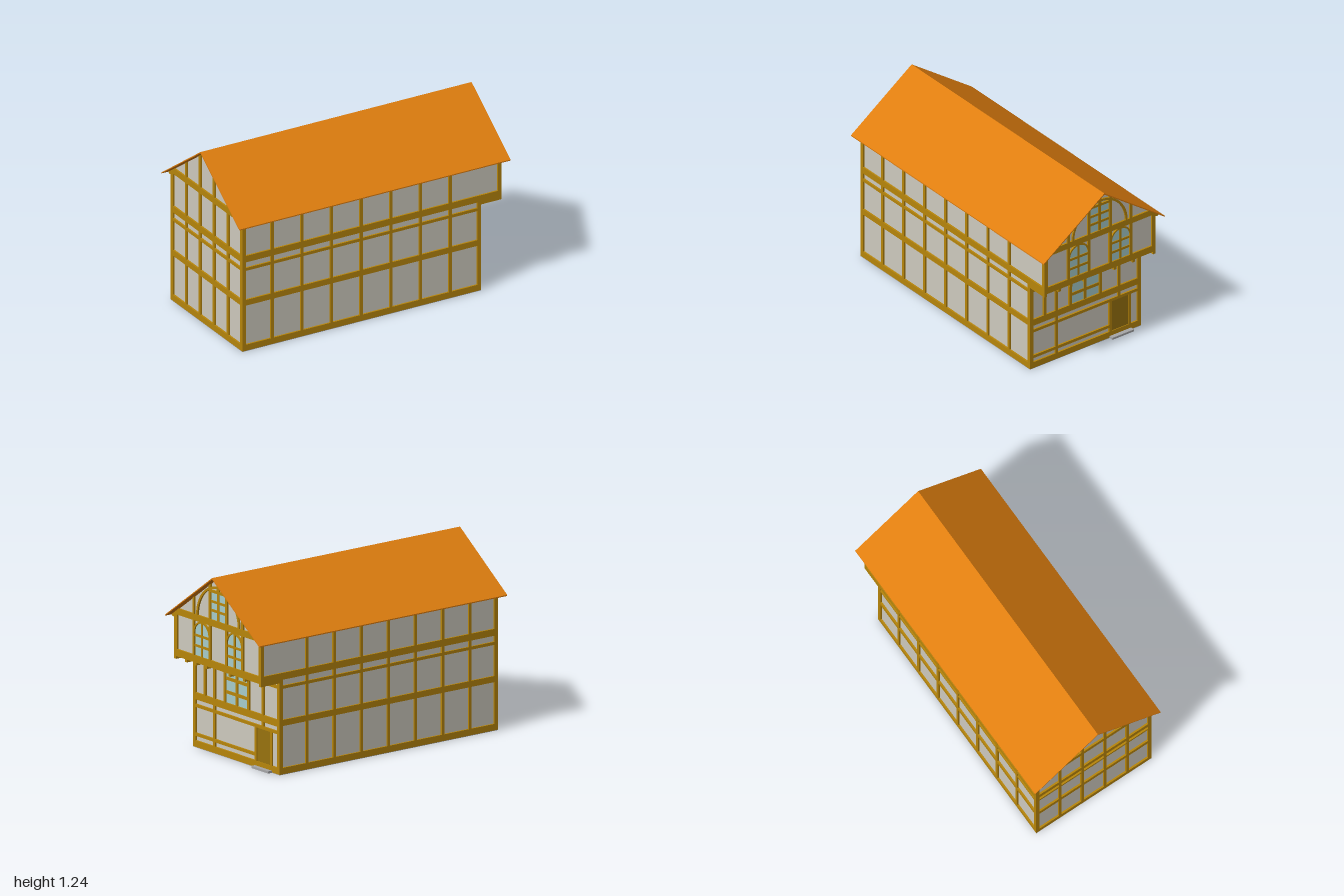
import * as THREE from 'three';

const mat = (name, color) => new THREE.MeshStandardMaterial({ name, color });

export function createModel() {
  const model = new THREE.Group();
  model.name = 'timberFramedHouse';
  const timber = mat('timber', 0xb8860b);
  const plaster = mat('plaster', 0xcfcbbf);
  const roofMat = mat('roofTile', 0xdf7e0f);
  const glass = mat('glass', 0xa8cecc);
  const doorMat = mat('doorWood', 0x99730e);
  const stone = mat('stone', 0xa6a6a8);

  const BACK = -0.955, LOW = 0.805, UP = 0.955, Z = 0.445, D = 0.012;
  const roofY = z => 1.226 - 0.711 * Math.abs(z);

  const group = (name) => {
    const g = new THREE.Group();
    g.name = name;
    model.add(g);
    return g;
  };
  // Box given by its extents
  const box = (parent, name, m, x0, x1, y0, y1, z0, z1) => {
    const mesh = new THREE.Mesh(
      new THREE.BoxGeometry(Math.abs(x1 - x0), Math.abs(y1 - y0), Math.abs(z1 - z0)), m);
    mesh.position.set((x0 + x1) / 2, (y0 + y1) / 2, (z0 + z1) / 2);
    mesh.name = name;
    parent.add(mesh);
    return mesh;
  };
  // Outline of [z, y] points extruded along x from x0 to x1
  const slab = (parent, name, m, pts, x0, x1) => {
    const shape = new THREE.Shape(pts.map(([z, y]) => new THREE.Vector2(-z, y)));
    const geo = new THREE.ExtrudeGeometry(shape, { depth: x1 - x0, bevelEnabled: false });
    geo.rotateY(Math.PI / 2);
    const mesh = new THREE.Mesh(geo, m);
    mesh.position.x = x0;
    mesh.name = name;
    parent.add(mesh);
    return mesh;
  };
  // Half ellipse of [z, y] points
  const arc = (cz, cy, a, b, n = 24) => Array.from({ length: n + 1 }, (_, i) => {
    const t = Math.PI * i / n;
    return [cz + a * Math.cos(t), cy + b * Math.sin(t)];
  });
  const archBeam = (parent, name, cz, cy, a, b, w, x0, x1) => slab(parent, name, timber,
    [...arc(cz, cy, a, b), ...arc(cz, cy, a - w, b - w).reverse()], x0, x1);

  // Plastered core and base
  const walls = group('walls');
  box(walls, 'lowerWall', plaster, BACK + D, LOW - D, 0.003, 0.63, -Z + D, Z - D);
  const e = Z - D;
  slab(walls, 'upperWall', plaster,
    [[-e, 0.626], [e, 0.626], [e, roofY(e)], [0, roofY(0)], [-e, roofY(e)]], BACK + D, UP - D);
  box(walls, 'base', stone, BACK, LOW, 0, 0.003, -Z, Z);

  // Long side framing, the same on both sides
  for (const s of [1, -1]) {
    const g = group(s > 0 ? 'frontFraming' : 'rearFraming');
    const beam = (name, x0, x1, y0, y1) =>
      box(g, name, timber, x0, x1, y0, y1, s * (Z - D - 0.003), s * Z);
    for (const [y0, y1] of [[0.003, 0.045], [0.32, 0.36], [0.565, 0.585]])
      beam('rail', BACK, LOW, y0, y1);
    beam('floorBeam', BACK, UP, 0.625, 0.67);
    beam('cornerPost', BACK, BACK + 0.026, 0.003, 0.9);
    beam('cornerPost', LOW - 0.026, LOW, 0.003, 0.63);
    beam('upperCornerPost', UP - 0.026, UP, 0.605, 0.9);
    const tails = [BACK + 0.013, UP - 0.013];
    for (let i = 0; i < 7; i++) {
      const x = -0.7325 + i * 0.2187;
      beam('post', x - 0.01, x + 0.01, 0.003, 0.9);
      tails.push(x);
    }
    // Rafter ends under the eaves
    for (const x of tails)
      slab(g, 'rafterTail', timber, [[s * 0.435, 0.888], [s * 0.46, 0.876], [s * 0.474, 0.888],
        [s * 0.474, roofY(0.474)], [s * 0.435, roofY(0.435)]], x - 0.012, x + 0.012);
  }

  // Helpers for the framing of an end wall whose outer face is at x
  const endWall = (g, x, dir) => {
    const a = x - dir * (D + 0.003);
    const x0 = Math.min(a, x), x1 = Math.max(a, x);
    return {
      x0, x1,
      beam: (name, z0, z1, y0, y1) => box(g, name, timber, x0, x1, y0, y1, z0, z1),
      bar: (z0, z1, y0, y1) => box(g, 'glazingBar', timber, x0, x1 - 0.004, y0, y1, z0, z1),
      pane: (z0, z1, y0, y1) => box(g, 'pane', glass, x0, x0 + 0.006, y0, y1, z0, z1),
      gablePost: (z, w, y0) => slab(g, 'gablePost', timber, [[z - w / 2, y0], [z + w / 2, y0],
        [z + w / 2, roofY(z + w / 2)], [z - w / 2, roofY(z - w / 2)]], x0, x1),
      tieBeam: () => slab(g, 'tieBeam', timber,
        [[-Z, 0.898], [Z, 0.898], [Z, roofY(Z)], [0.402, 0.94], [-0.402, 0.94], [-Z, roofY(Z)]], x0, x1),
    };
  };

  // Rear end wall: plain grid of posts and rails
  const rear = endWall(group('plainEndFraming'), BACK, -1);
  for (const [y0, y1] of [[0.003, 0.045], [0.32, 0.36], [0.565, 0.585], [0.625, 0.67]])
    rear.beam('rail', -Z, Z, y0, y1);
  rear.tieBeam();
  for (const s of [1, -1]) {
    rear.beam('cornerPost', s * 0.418, s * Z, 0.003, 0.9);
    for (const z of [0.26, 0.087]) {
      rear.beam('post', s * z - 0.01, s * z + 0.01, 0.003, 0.9);
      rear.gablePost(s * z, 0.02, 0.93);
    }
  }

  // Lower street wall with door and window
  const streetLow = group('lowerStreetWall');
  const low = endWall(streetLow, LOW, 1);
  low.beam('sill', -Z, Z, 0.003, 0.045);
  low.beam('lowRail', -0.2, Z, 0.075, 0.095);
  low.beam('doorHeadRail', -Z, Z, 0.265, 0.285);
  low.beam('windowSillRail', -Z, Z, 0.315, 0.36);
  low.beam('upperRail', 0.12, Z, 0.565, 0.585);
  low.beam('upperRail', -Z, -0.12, 0.565, 0.585);
  for (const s of [1, -1]) {
    low.beam('cornerPost', s * 0.418, s * Z, 0.003, 0.63);
    low.beam('windowPost', s * 0.11, s * 0.13, 0.36, 0.63);
  }
  low.beam('longPost', 0.219, 0.239, 0.003, 0.63);
  low.beam('post', 0.314, 0.334, 0.36, 0.63);
  low.beam('post', -0.281, -0.261, 0.285, 0.63);
  low.beam('doorPost', -0.21, -0.19, 0.003, 0.27);
  low.beam('doorPost', -0.365, -0.345, 0.003, 0.27);
  box(streetLow, 'door', doorMat, low.x0, LOW - 0.005, 0.012, 0.265, -0.345, -0.21);
  box(streetLow, 'doorstep', stone, LOW - 0.01, LOW + 0.03, 0, 0.014, -0.365, -0.193);
  low.pane(-0.11, 0.11, 0.36, 0.605);
  low.beam('windowHead', -0.13, 0.13, 0.605, 0.63);
  low.bar(-0.01, 0.01, 0.36, 0.605);
  for (const y of [0.42, 0.51]) low.bar(-0.11, 0.11, y, y + 0.021);

  // Jetty: soffit and joists below the overhanging storey
  const jetty = group('jetty');
  box(jetty, 'soffit', timber, LOW - D, UP - 0.002, 0.622, 0.632, -Z + 0.002, Z - 0.002);
  for (const z of [0.435, 0.324, 0.229, 0.12, -0.12, -0.271, -0.435])
    box(jetty, 'joist', timber, LOW - D, UP, 0.605, 0.626, z - 0.01, z + 0.01);

  // Upper street wall with a pair of arched windows
  const streetUp = group('upperStreetWall');
  const up = endWall(streetUp, UP, 1);
  up.beam('floorBeam', -Z, Z, 0.625, 0.67);
  up.tieBeam();
  for (const s of [1, -1]) {
    const c = s * 0.1675, r = 0.0725, cy = 0.8175;
    up.beam('cornerPost', s * 0.418, s * Z, 0.625, 0.9);
    for (const z of [0.25, 0.085]) up.beam('windowPost', s * z - 0.01, s * z + 0.01, 0.67, 0.9);
    slab(streetUp, 'archedPane', glass, [[c - r, 0.67], [c + r, 0.67], ...arc(c, cy, r, r)],
      up.x0, up.x0 + 0.006);
    archBeam(streetUp, 'windowArch', c, cy, r + 0.011, r + 0.011, 0.011, up.x0, up.x1);
    up.bar(c - 0.008, c + 0.008, 0.67, 0.888);
    for (const y of [0.727, 0.795]) up.bar(c - r, c + r, y, y + 0.016);
    // Gable posts beside the attic window and further out
    up.gablePost(s * 0.25, 0.02, 0.93);
    up.gablePost(s * 0.085, 0.02, 0.93);
  }

  // Attic window, arched brace and king post
  up.pane(-0.075, 0.075, 0.94, 1.12);
  up.bar(-0.01, 0.01, 0.94, 1.12);
  for (const y of [0.993, 1.052]) up.bar(-0.075, 0.075, y, y + 0.016);
  up.beam('atticWindowHead', -0.095, 0.095, 1.12, 1.136);
  up.beam('kingPost', -0.012, 0.012, 1.13, 1.214);
  archBeam(streetUp, 'archedBrace', 0, 0.935, 0.222, 0.232, 0.015, up.x0, up.x1);

  // Roof: one thin folded slab
  const t = 0.009;
  slab(model, 'roof', roofMat, [[0.485, 0.89], [0.485, 0.89 - t * 0.8], [0, 1.235 - t], [-0.485, 0.89 - t * 0.8],
    [-0.485, 0.89], [0, 1.235]], -1, 1);

  return model;
}
